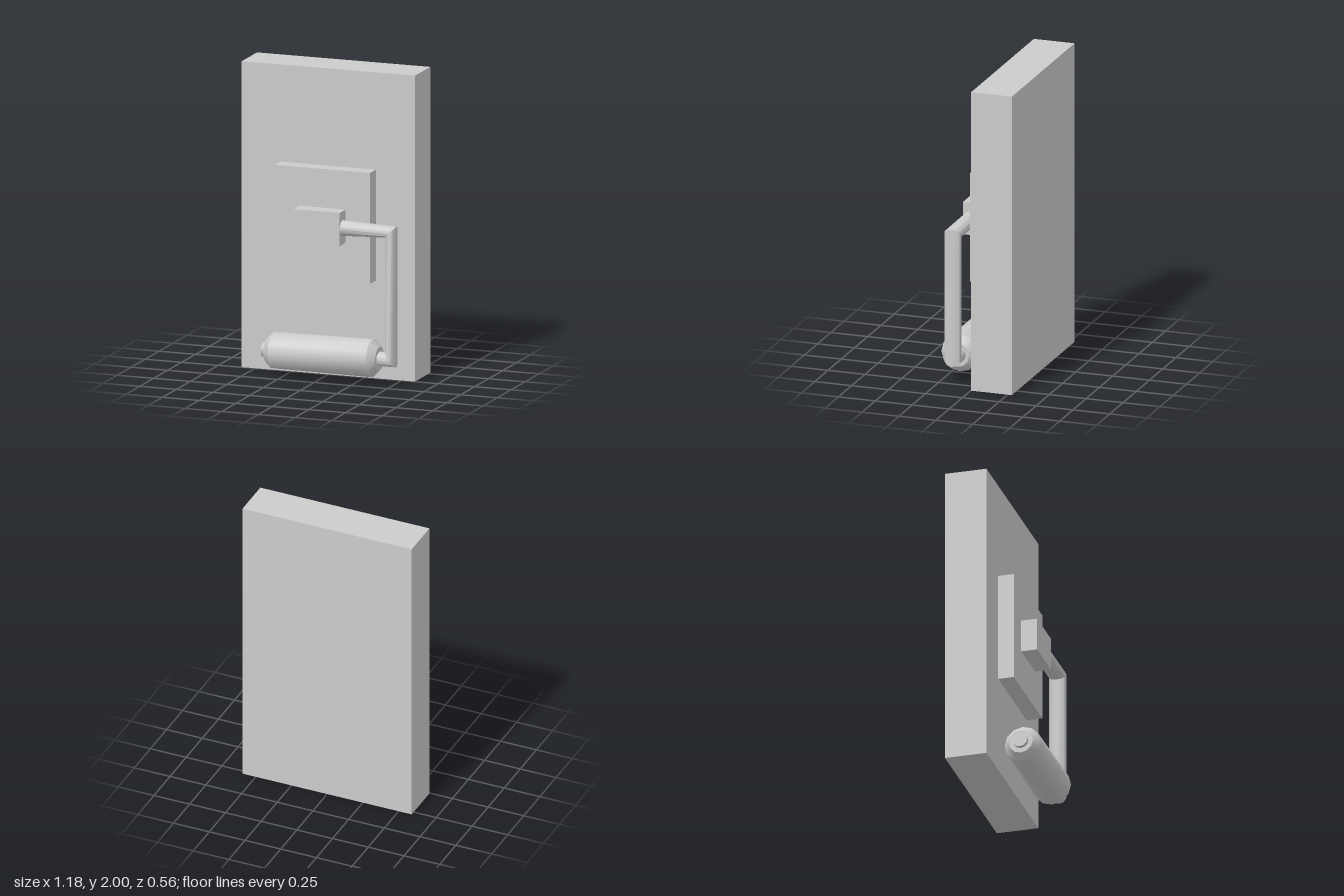
import * as THREE from 'three';
import { toCreasedNormals } from 'three/addons/utils/BufferGeometryUtils.js';

const SIDES = 12;
const CREASE = 0.6;
const material = new THREE.MeshStandardMaterial({ color: 0xcccccc });

function addMesh(group, name, geometry) {
  const mesh = new THREE.Mesh(geometry, material);
  mesh.name = name;
  group.add(mesh);
  return mesh;
}

// Box given by its minimum and maximum corners
function addBox(group, name, min, max) {
  const size = max.map((v, i) => v - min[i]);
  const mesh = addMesh(group, name, new THREE.BoxGeometry(...size));
  mesh.position.set(...min.map((v, i) => (v + max[i]) / 2));
}

// Closed tube through elliptical rings; each ring is centre, in-plane axis (ux, uy) and z radius
function ringTube(rings, z) {
  const positions = [];
  const index = [];
  for (const { x, y, ux, uy, rz } of rings) {
    for (let j = 0; j < SIDES; j++) {
      const a = (j / SIDES) * Math.PI * 2;
      const c = Math.cos(a);
      positions.push(x + ux * c, y + uy * c, z + rz * Math.sin(a));
    }
  }
  for (let i = 0; i < rings.length - 1; i++) {
    for (let j = 0; j < SIDES; j++) {
      const k = (j + 1) % SIDES;
      const a = i * SIDES;
      const b = a + SIDES;
      index.push(a + j, a + k, b + k, a + j, b + k, b + j);
    }
  }
  // End caps
  const last = (rings.length - 1) * SIDES;
  for (let j = 1; j < SIDES - 1; j++) {
    index.push(0, j + 1, j, last, last + j, last + j + 1);
  }
  const geometry = new THREE.BufferGeometry();
  geometry.setAttribute('position', new THREE.Float32BufferAttribute(positions, 3));
  geometry.setIndex(index);
  geometry.computeVertexNormals();
  return toCreasedNormals(geometry, CREASE);
}

export function createModel() {
  const group = new THREE.Group();
  group.name = 'wallCrank';

  // Wall slab, mounting plate and hub block
  addBox(group, 'wallPanel', [-0.592, 0, -0.28], [0.592, 2, -0.004]);
  addBox(group, 'mountingPlate', [-0.325, 0.64, -0.004], [0.325, 1.365, 0.1]);
  addBox(group, 'hubBlock', [-0.158, 0.895, 0.1], [0.158, 1.112, 0.206]);

  // Bent arm: out from the hub, down, then back through the grip
  const axisZ = 0.155;
  const gripY = 0.168;
  addMesh(group, 'crankArm', ringTube([
    { x: 0.15, y: 1.003, ux: 0, uy: 0.052, rz: 0.052 },
    { x: 0.492, y: 1.003, ux: 0.036, uy: 0.038, rz: 0.058 },
    { x: 0.491, y: gripY, ux: 0.035, uy: -0.047, rz: 0.058 },
    { x: -0.381, y: gripY, ux: 0, uy: -0.048, rz: 0.05 },
  ], axisZ));

  // Chamfered grip around the lower rod
  const profile = [
    [0, -0.355], [0.08, -0.355], [0.12, -0.31],
    [0.125, 0.363], [0.08, 0.41], [0, 0.41],
  ].map(([r, h]) => new THREE.Vector2(r, h));
  const grip = new THREE.LatheGeometry(profile, SIDES);
  grip.rotateZ(-Math.PI / 2);
  addMesh(group, 'handGrip', toCreasedNormals(grip, CREASE)).position.set(0, gripY, axisZ);

  return group;
}
